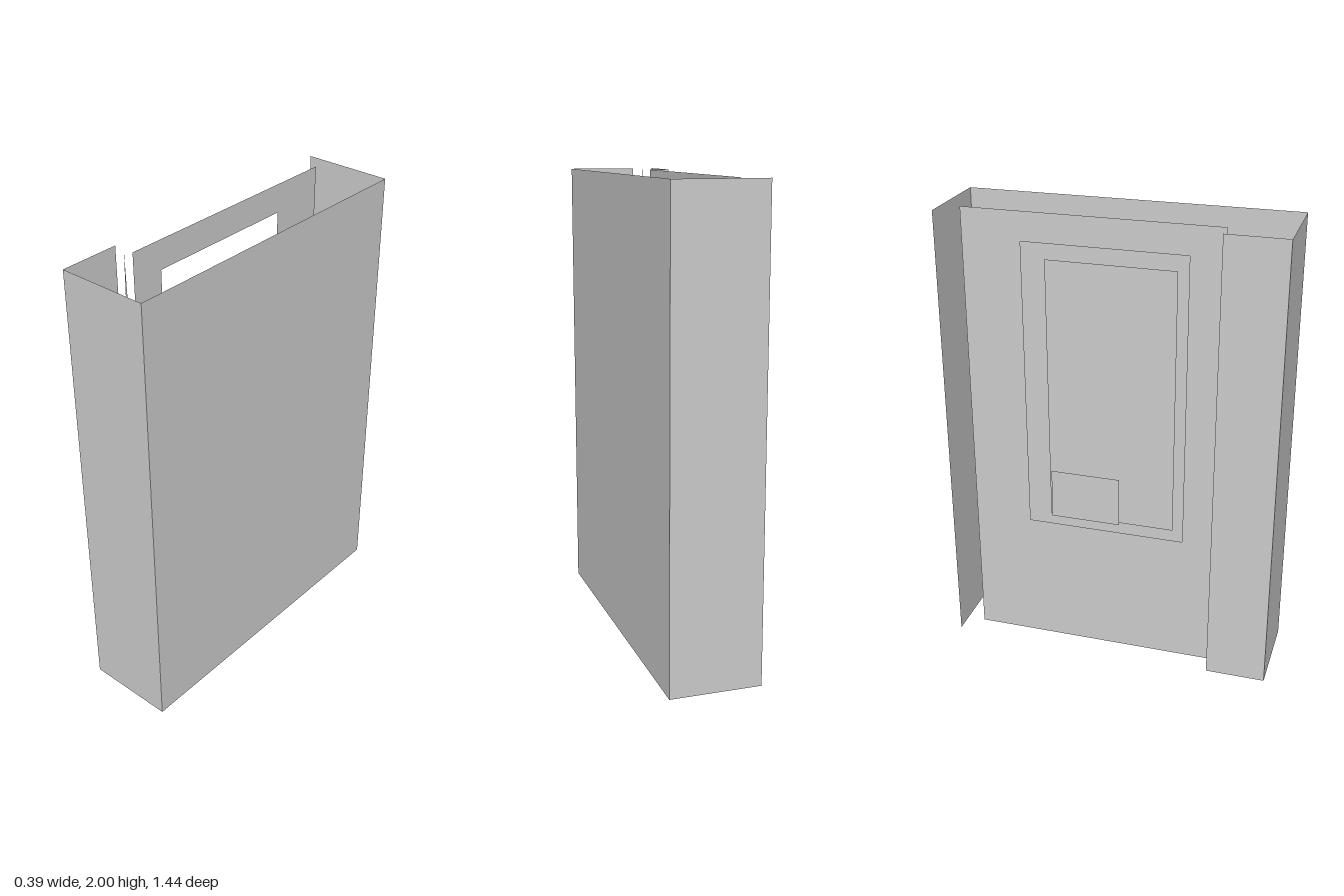
import * as THREE from 'three';

const twoSided = new THREE.MeshStandardMaterial({ color: 0xcccccc, flatShading: true, side: THREE.DoubleSide });
const oneSided = new THREE.MeshStandardMaterial({ color: 0xcccccc, flatShading: true });

const H = 2;         // height
const X = 0.195;     // half width
const Z = 0.72;      // half depth
const STEP_X = -0.105; // plane of the recessed wall
const STEP_Z = 0.46;   // where the corner column ends

function outline(points, Type = THREE.Shape) {
  return new Type(points.map(([u, v]) => new THREE.Vector2(u, v)));
}

function rect(u0, u1, v0, v1, Type) {
  return outline([[u0, v0], [u1, v0], [u1, v1], [u0, v1]], Type);
}

function add(group, name, geometry, material = twoSided) {
  const mesh = new THREE.Mesh(geometry, material);
  mesh.name = name;
  group.add(mesh);
}

// Sheet in a plane of constant x; the shape's u runs along z, and it faces -x
function sideSheet(shape, x) {
  return new THREE.ShapeGeometry(shape).rotateY(-Math.PI / 2).translate(x, 0, 0);
}

// Sheet in a plane of constant z; facing +1 or -1
function crossSheet(points, z, facing = 1) {
  const pts = facing > 0 ? points : points.map(([u, v]) => [-u, v]);
  const g = new THREE.ShapeGeometry(outline(pts));
  if (facing < 0) g.rotateY(Math.PI);
  return g.translate(0, 0, z);
}

const corners = (x0, x1) => [[x0, 0], [x1, 0], [x1, H], [x0, H]];

export function createModel() {
  const model = new THREE.Group();
  model.name = 'openCase';

  // Outer walls
  add(model, 'largeSideWall', sideSheet(rect(-Z, Z, 0, H), X));
  add(model, 'backWall', crossSheet(corners(-X, X), -Z));
  add(model, 'frontWall', crossSheet(corners(STEP_X, X), Z));

  // Recessed wall with a rectangular window
  const wall = rect(-0.64, STEP_Z, 0, H);
  wall.holes.push(rect(-0.385, 0.315, 0.59, 1.875, THREE.Path));
  add(model, 'windowWall', sideSheet(wall, STEP_X));

  // Plate set back behind the window, with a small plate on it
  add(model, 'windowPlate', sideSheet(rect(-0.30, 0.26, 0.615, 1.795), -0.063));
  add(model, 'smallPlate', sideSheet(rect(-0.29, 0.02, 0.61, 0.835), -0.075));

  // Corner column: outer strip and two narrow ends, each lined by a tall triangle
  add(model, 'columnSide', sideSheet(rect(STEP_Z, Z, 0, H), -X));
  const lining = [[-X, 0], [STEP_X, 0], [(STEP_X - X) / 2, H]];
  for (const [name, z, facing] of [['columnFront', Z, 1], ['columnStep', STEP_Z, -1]]) {
    add(model, name, crossSheet(corners(-X, STEP_X), z, facing), oneSided);
    add(model, name + 'Lining', crossSheet(lining, z, -facing), oneSided);
  }
  return model;
}
